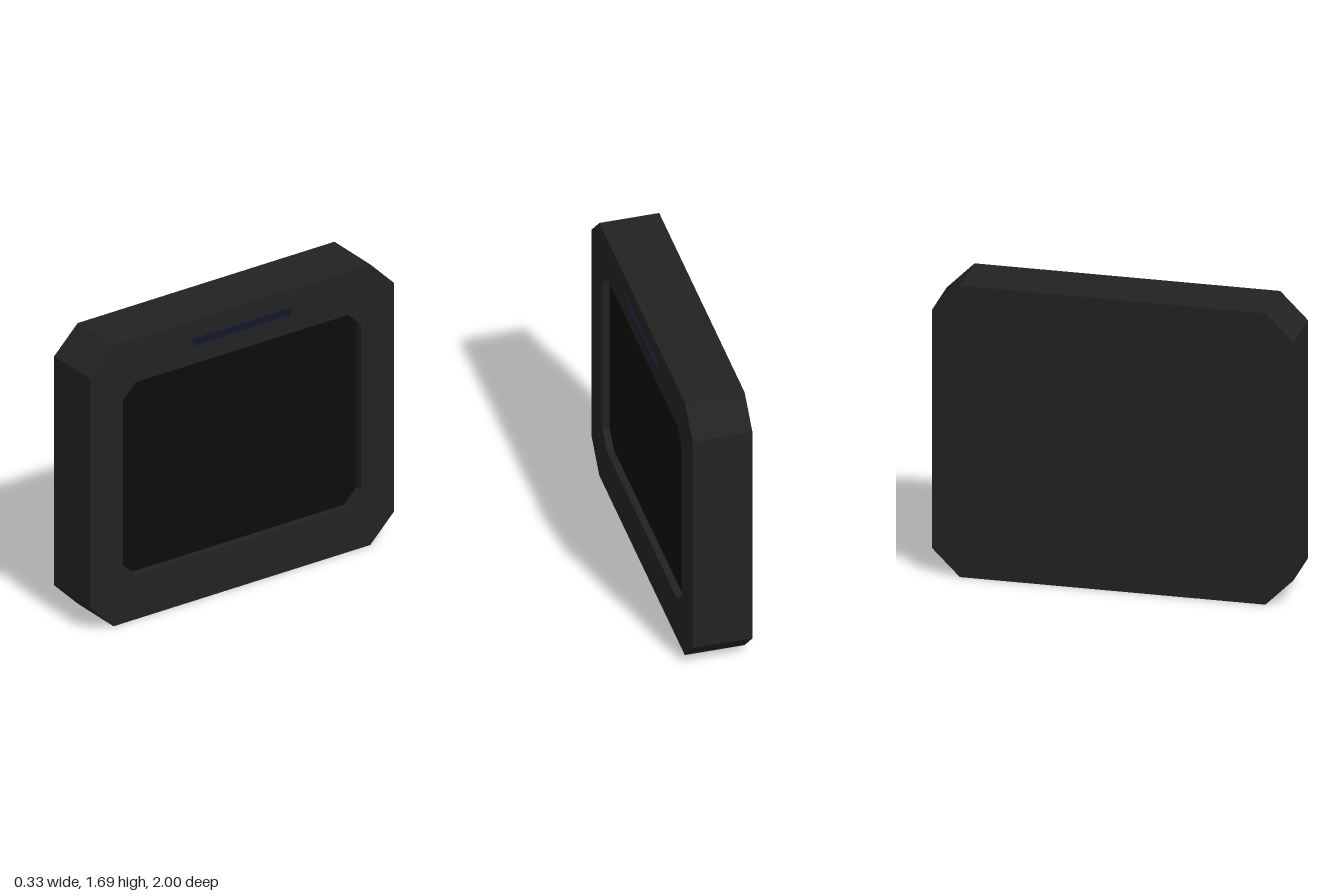
import * as THREE from 'three';
import { mergeGeometries } from 'three/addons/utils/BufferGeometryUtils.js';

const HALF_X = 0.167;
const SCREEN_X = HALF_X - 0.04;
const SLOT_X = HALF_X - 0.02;

// counter-clockwise rectangle with chamfered corners
function chamferedRect(w, y0, y1, c) {
  return [
    [-w + c, y0], [w - c, y0], [w, y0 + c], [w, y1 - c],
    [w - c, y1], [-w + c, y1], [-w, y1 - c], [-w, y0 + c],
  ].map(([x, y]) => new THREE.Vector2(x, y));
}

// flat face at a given depth, optionally pierced or turned to the back
function face(points, depth, holes = [], back = false) {
  const shape = new THREE.Shape(points);
  shape.holes = holes.map((h) => new THREE.Path(h));
  const geo = new THREE.ShapeGeometry(shape);
  if (back) geo.rotateY(Math.PI); // outline is mirror-symmetric
  return geo.translate(0, 0, depth).deleteAttribute('uv').toNonIndexed();
}

// band of quads along an outline; inward turns it into a recess wall
function wall(outline, d0, d1, inward = false) {
  const points = inward ? [...outline].reverse() : outline;
  const pos = [];
  points.forEach((a, i) => {
    const b = points[(i + 1) % points.length];
    pos.push(a.x, a.y, d0, b.x, b.y, d0, b.x, b.y, d1);
    pos.push(a.x, a.y, d0, b.x, b.y, d1, a.x, a.y, d1);
  });
  const geo = new THREE.BufferGeometry();
  geo.setAttribute('position', new THREE.Float32BufferAttribute(pos, 3));
  geo.computeVertexNormals();
  return geo;
}

function part(name, color, geometries) {
  const geo = mergeGeometries(geometries);
  geo.rotateY(Math.PI / 2); // depth axis becomes +x
  const mesh = new THREE.Mesh(geo, new THREE.MeshStandardMaterial({ color }));
  mesh.name = name;
  return mesh;
}

export function createModel() {
  const group = new THREE.Group();
  group.name = 'displayUnit';

  const outer = chamferedRect(1, 0, 1.686, 0.155);
  const opening = chamferedRect(0.782, 0.268, 1.425, 0.082);
  const slot = [[-0.31, 1.53], [0.31, 1.53], [0.337, 1.577], [-0.337, 1.577]]
    .map(([x, y]) => new THREE.Vector2(x, y));

  // housing with the screen recess and the slot cut into its +x side
  group.add(part('housing', 0x222222, [
    face(outer, -HALF_X, [], true),
    face(outer, HALF_X, [opening, slot]),
    wall(outer, -HALF_X, HALF_X),
    wall(opening, SCREEN_X, HALF_X, true),
  ]));

  // sunken screen
  group.add(part('screen', 0x0c0c0c, [face(opening, SCREEN_X)]));

  // narrow slot above the screen
  group.add(part('topSlot', 0x11162a, [
    face(slot, SLOT_X),
    wall(slot, SLOT_X, HALF_X, true),
  ]));

  return group;
}
